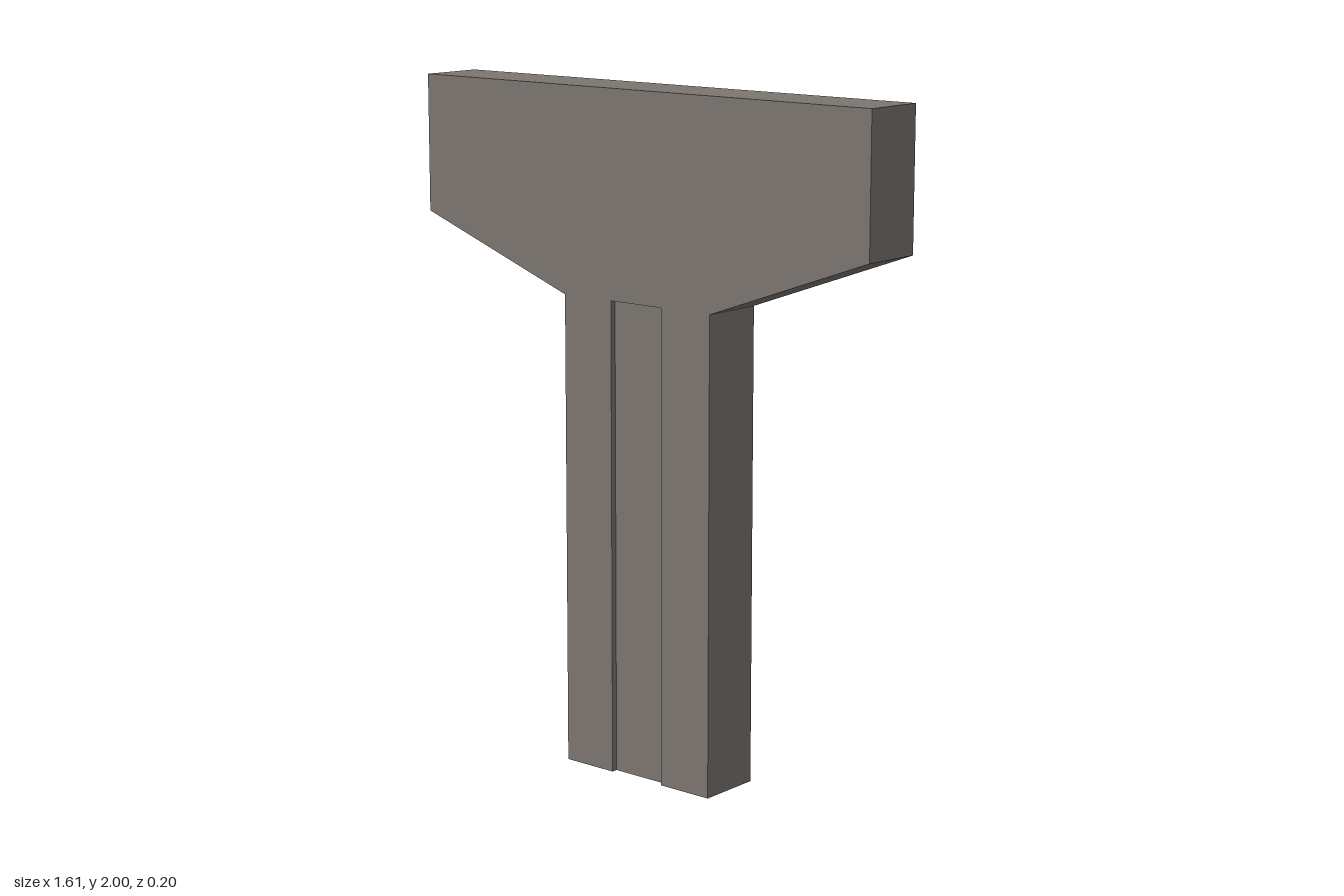
import * as THREE from 'three';

const HALF_DEPTH = 0.098;   // half thickness of the whole pier
const SHAFT_HALF = 0.268;
const SHAFT_TOP = 1.4;
const HEAD_HALF = 0.807;
const RECESS_HALF = 0.093;
const RECESS_DEPTH = 0.018;

const shapeFrom = (points) => new THREE.Shape(points.map(([x, y]) => new THREE.Vector2(x, y)));

export function createModel() {
  const model = new THREE.Group();
  model.name = 'bridgePier';

  const concrete = new THREE.MeshStandardMaterial({ color: 0x7c7670 });
  concrete.name = 'concrete';

  const addPart = (name, geometry) => {
    const mesh = new THREE.Mesh(geometry, concrete);
    mesh.name = name;
    model.add(mesh);
  };

  // Hammerhead cap with sloping underside
  const capOutline = shapeFrom([
    [-SHAFT_HALF, SHAFT_TOP], [SHAFT_HALF, SHAFT_TOP],
    [HEAD_HALF, 1.595], [HEAD_HALF, 2],
    [-HEAD_HALF, 2], [-HEAD_HALF, 1.595],
  ]);
  const cap = new THREE.ExtrudeGeometry(capOutline, { depth: 2 * HALF_DEPTH, bevelEnabled: false });
  cap.translate(0, 0, -HALF_DEPTH);
  addPart('hammerheadCap', cap);

  // Shaft: plan section with a shallow groove front and back, extruded upward
  const inner = HALF_DEPTH - RECESS_DEPTH;
  const side = [
    [-SHAFT_HALF, -HALF_DEPTH], [-RECESS_HALF, -HALF_DEPTH], [-RECESS_HALF, -inner],
    [RECESS_HALF, -inner], [RECESS_HALF, -HALF_DEPTH], [SHAFT_HALF, -HALF_DEPTH],
  ];
  const section = shapeFrom([...side, ...side.map(([x, z]) => [-x, -z])]);
  const shaft = new THREE.ExtrudeGeometry(section, { depth: SHAFT_TOP, bevelEnabled: false });
  shaft.rotateX(-Math.PI / 2);
  addPart('groovedShaft', shaft);

  return model;
}
